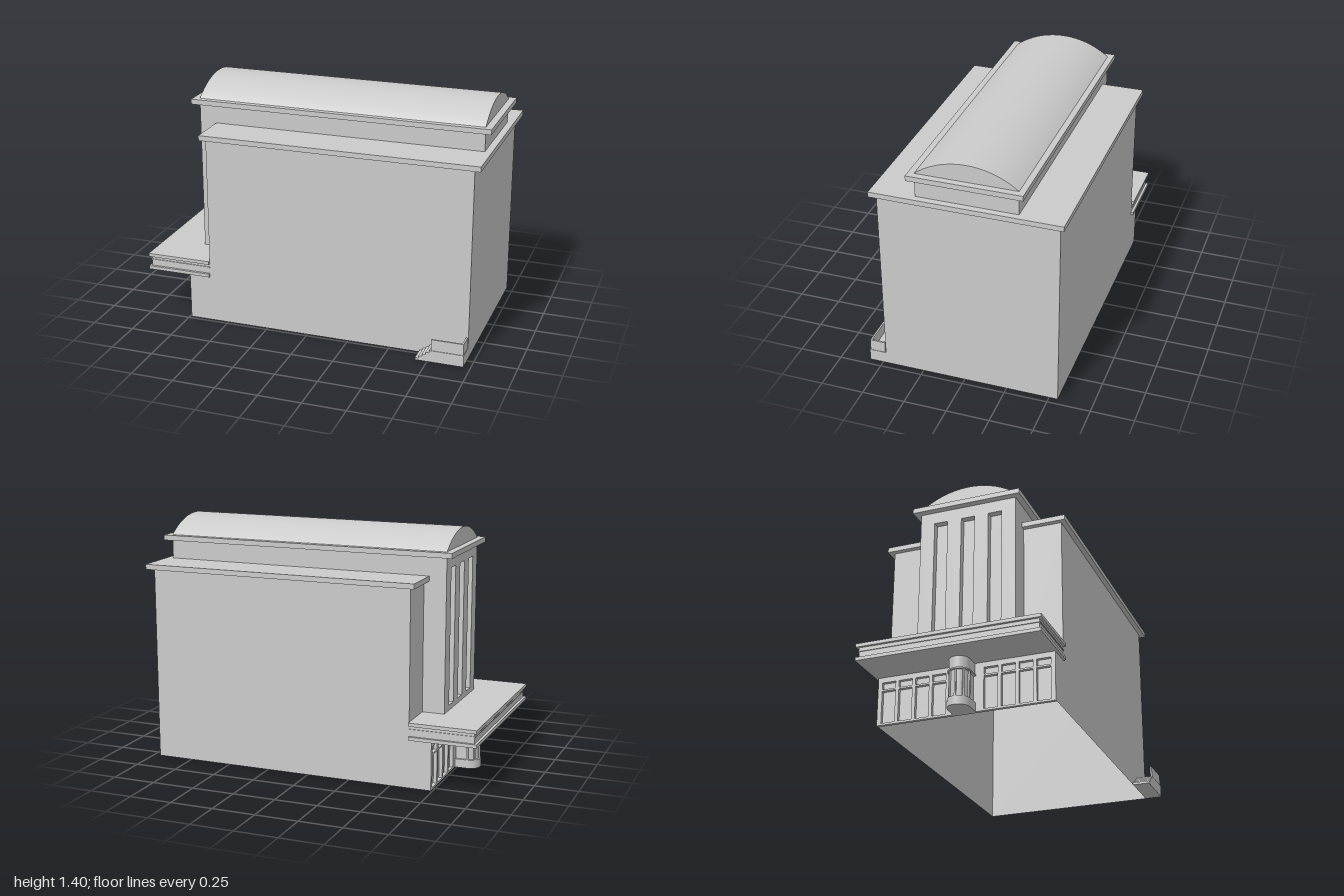
import * as THREE from 'three';

export function createModel() {
  const model = new THREE.Group();
  const mat = new THREE.MeshStandardMaterial({ color: 0xcccccc, side: THREE.DoubleSide });
  const ZC = -0.035; // centre line of the building

  const add = (name, geo, parent = model) => {
    const mesh = new THREE.Mesh(geo, mat);
    mesh.name = name;
    parent.add(mesh);
    return mesh;
  };
  const box = (name, x0, x1, y0, y1, z0, z1, parent) => add(name,
    new THREE.BoxGeometry(x1 - x0, y1 - y0, z1 - z0)
      .translate((x0 + x1) / 2, (y0 + y1) / 2, (z0 + z1) / 2), parent);
  const polygon = pts => new THREE.Shape(pts.map(p => new THREE.Vector2(...p)));
  const rect = (a0, a1, b0, b1) => polygon([[a0, b0], [a1, b0], [a1, b1], [a0, b1]]);
  // flat wall across z at a given x
  const crossWall = (name, x, z0, z1, y0, y1) => add(name,
    new THREE.ShapeGeometry(rect(z0, z1, y0, y1)).rotateY(-Math.PI / 2).translate(x, 0, 0));
  // wall across z with openings, its outer face at x
  const piercedWall = (name, x, depth, outline, openings) => {
    outline.holes = openings;
    return add(name, new THREE.ExtrudeGeometry(outline, { depth, bevelEnabled: false })
      .rotateY(-Math.PI / 2).translate(x + depth, 0, 0));
  };

  // Main hall: a shell open underneath
  const side = [[-0.74, 0], [0.96, 0], [0.96, 1.13], [-0.61, 1.13], [-0.61, 0.28], [-0.74, 0.28]];
  for (const [name, z] of [['frontWall', 0.48], ['backWall', -0.55]]) {
    add(name, new THREE.ShapeGeometry(polygon(side)).translate(0, 0, z));
  }
  crossWall('endWall', 0.96, -0.55, 0.48, 0, 1.13);
  crossWall('entranceShoulder', -0.61, -0.55, -0.325, 0.28, 1.13);
  crossWall('entranceShoulder', -0.61, 0.255, 0.48, 0.28, 1.13);
  box('roofSlab', -0.64, 1, 1.13, 1.16, -0.58, 0.51);

  // Raised central bay with three tall window slots
  for (const z of [-0.325, 0.255]) {
    add('baySide', new THREE.ShapeGeometry(rect(-0.74, -0.61, 0.38, 1.27)).translate(0, 0, z));
  }
  box('clerestory', -0.61, 0.96, 1.16, 1.27, -0.325, 0.255);
  const slots = [-0.165, 0, 0.165].map(d => rect(ZC + d - 0.04, ZC + d + 0.04, 0.41, 1.2));
  piercedWall('bayFacade', -0.74, 0.04, rect(-0.325, 0.255, 0.38, 1.27), slots);
  crossWall('bayWindows', -0.7, -0.325, 0.255, 0.38, 1.27);
  box('bayCornice', -0.78, 1, 1.27, 1.3, -0.36, 0.29);

  // Barrel vault
  const R = 0.4705, half = Math.asin(0.29 / R);
  const arch = new THREE.Shape();
  arch.absarc(0, 0, R, Math.PI / 2 - half, Math.PI / 2 + half, false);
  arch.closePath();
  add('vaultRoof', new THREE.ExtrudeGeometry(arch, { depth: 1.7, bevelEnabled: false, curveSegments: 32 })
    .rotateY(Math.PI / 2).translate(-0.74, 1.4 - R, ZC));

  // Canopy
  const canopy = new THREE.Group();
  canopy.name = 'canopy';
  model.add(canopy);
  box('canopyBottom', -1, -0.61, 0.28, 0.3, -0.565, 0.495, canopy);
  box('canopySign', -0.985, -0.61, 0.3, 0.36, -0.55, 0.48, canopy);
  box('canopyRail', -0.99, -0.61, 0.336, 0.342, -0.555, 0.485, canopy);
  box('canopyTop', -1, -0.61, 0.36, 0.38, -0.565, 0.495, canopy);

  // Ground floor entrance with doors on both sides of the booth
  const doorways = [];
  for (const s of [-1, 1]) {
    for (const d of [0.15, 0.25, 0.35, 0.45]) {
      const z = ZC + s * d;
      doorways.push(rect(z - 0.04, z + 0.04, 0.012, 0.2), rect(z - 0.04, z + 0.04, 0.21, 0.25));
    }
  }
  piercedWall('entranceFacade', -0.74, 0.02, rect(-0.55, 0.48, 0, 0.28), doorways);
  crossWall('doorPanels', -0.72, -0.55, 0.48, 0, 0.28);

  // Ticket booth with a rounded front
  const booth = new THREE.Group();
  booth.name = 'ticketBooth';
  booth.position.set(-0.81, 0, ZC);
  model.add(booth);
  const boothRing = (name, r, y0, y1) => {
    const s = new THREE.Shape();
    s.moveTo(0.07, r);
    s.lineTo(0, r);
    s.absarc(0, 0, r, Math.PI / 2, Math.PI * 1.5, false);
    s.lineTo(0.07, -r);
    s.closePath();
    add(name, new THREE.ExtrudeGeometry(s, { depth: y1 - y0, bevelEnabled: false, curveSegments: 20 })
      .rotateX(-Math.PI / 2).translate(0, y0, 0), booth);
  };
  boothRing('boothBase', 0.065, 0, 0.05);
  boothRing('boothGlass', 0.052, 0.05, 0.205);
  boothRing('boothBand', 0.065, 0.205, 0.213);
  boothRing('boothHead', 0.058, 0.213, 0.28);
  for (let i = 0; i < 5; i++) {
    const a = Math.PI / 2 + (i * Math.PI) / 4;
    add('boothPost', new THREE.BoxGeometry(0.01, 0.155, 0.01).rotateY(-a)
      .translate(0.056 * Math.cos(a), 0.1275, 0.056 * Math.sin(a)), booth);
  }

  // Side stair with landing and parapet
  const steps = 5, profile = [[0.96, 0], [0.96, 0.07]];
  for (let i = steps; i > 0; i--) {
    const x = 0.68 + (i - 1) * 0.02;
    profile.push([x, i * 0.07 / steps], [x, (i - 1) * 0.07 / steps]);
  }
  add('sideStair', new THREE.ExtrudeGeometry(polygon(profile), { depth: 0.1, bevelEnabled: false })
    .translate(0, 0, 0.48));
  box('parapetFront', 0.77, 0.957, 0.07, 0.137, 0.566, 0.576);
  box('parapetEnd', 0.947, 0.957, 0.07, 0.137, 0.486, 0.566);

  return model;
}
